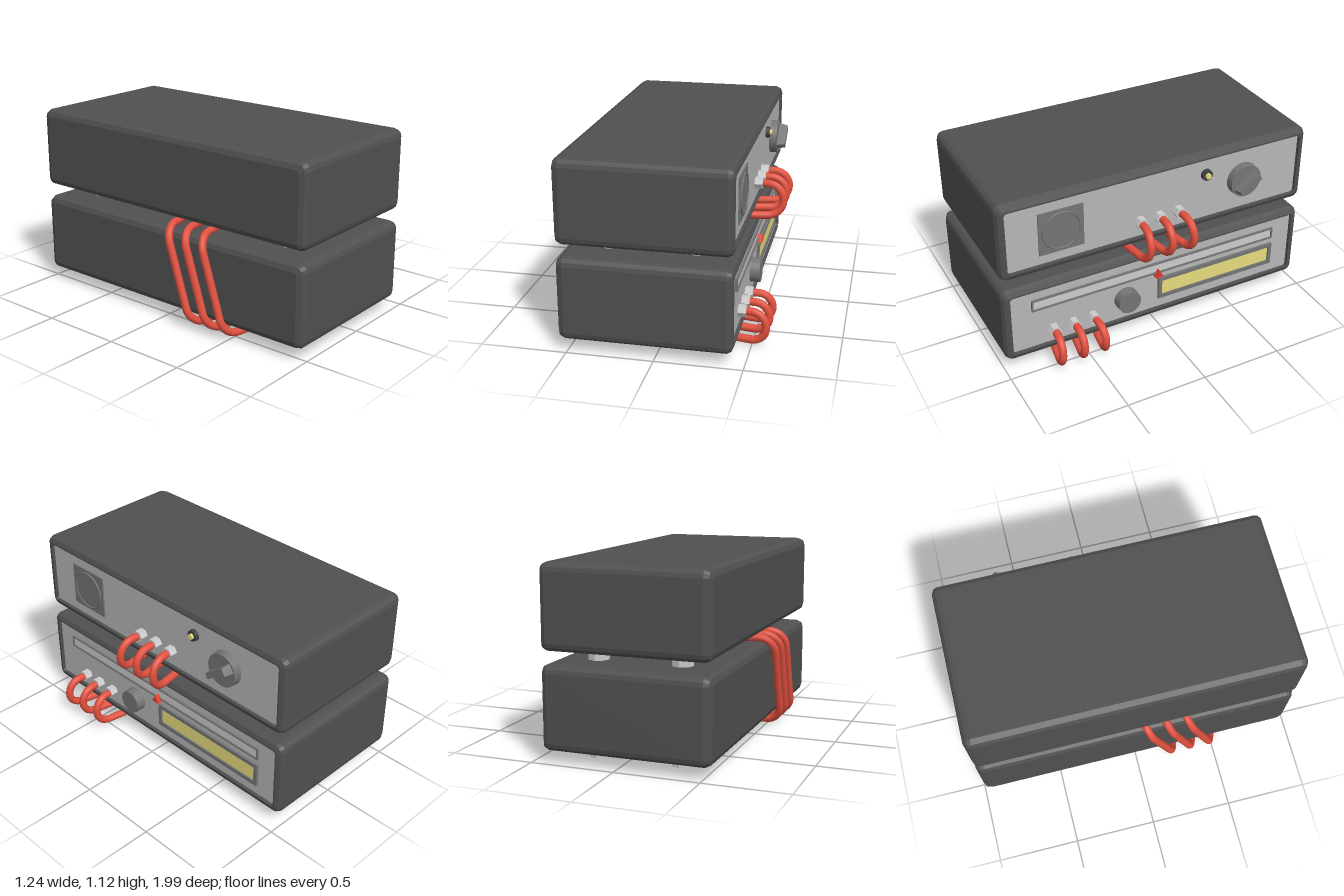
import * as THREE from 'three';

const mat = (color, flatShading = false) => new THREE.MeshStandardMaterial({ color, flatShading });
const M = {
  shell: mat(0x505050, true), panel: mat(0xb6b6b6), metal: mat(0xcccccc, true),
  dark: mat(0x757575), darkFlat: mat(0x757575, true), black: mat(0x404040),
  red: mat(0xe0503f), redFlat: mat(0xe0402f, true), yellow: mat(0xe6dc7c), light: mat(0xcccccc),
};
const FACE = 0.42; // x of the recessed control panels

function add(parent, name, geo, material, x = 0, y = 0, z = 0) {
  const mesh = new THREE.Mesh(geo, material);
  mesh.name = name;
  mesh.position.set(x, y, z);
  parent.add(mesh);
  return mesh;
}

// Disc or prism whose axis runs along x, starting at x = 0
function disc(r0, r1, depth, sides) {
  return new THREE.CylinderGeometry(r1, r0, depth, sides).rotateZ(-Math.PI / 2).translate(depth / 2, 0, 0);
}

// Box starting at x = 0
const slab = (depth, h, w) => new THREE.BoxGeometry(depth, h, w).translate(depth / 2, 0, 0);

// Rectangular frame in the yz plane
function frame(w, h, border, depth) {
  const rect = (C, a, b) => new C([[-a, -b], [a, -b], [a, b], [-a, b]].map(p => new THREE.Vector2(...p)));
  const s = rect(THREE.Shape, w / 2, h / 2);
  s.holes.push(rect(THREE.Path, w / 2 - border, h / 2 - border));
  return new THREE.ExtrudeGeometry(s, { depth, bevelEnabled: false }).rotateY(Math.PI / 2);
}

// Rounded rectangle cross-section, shrunk by inset
function ring(x, inset, halfH, halfW) {
  const r = Math.max(0.048 - inset, 0.018), pts = [];
  const h = halfH - inset - r, w = halfW - inset - r;
  for (let q = 0; q < 4; q++) {
    const sy = q < 2 ? 1 : -1, sz = q === 0 || q === 3 ? 1 : -1;
    for (let i = 0; i <= 3; i++) {
      const a = (q + i / 3) * Math.PI / 2;
      pts.push([x, sy * h + r * Math.sin(a), sz * w + r * Math.cos(a)]);
    }
  }
  return pts;
}

// Bevelled shell with a recess on the +x side
function shellGeometry() {
  const sections = [[-0.553, 0.042], [-0.541, 0.014], [-0.51, 0], [0.402, 0], [0.427, 0.012],
    [0.438, 0.036], [0.438, 0.046], [FACE - 0.01, 0.05]];
  const rings = sections.map(([x, inset]) => ring(x, inset, 0.246, 0.995));
  const pos = [], n = rings[0].length;
  for (let j = 0; j < n; j++) {
    const k = (j + 1) % n;
    pos.push(sections[0][0], 0, 0, ...rings[0][j], ...rings[0][k]);
    for (let i = 0; i < rings.length - 1; i++) {
      const a = rings[i][j], b = rings[i][k], c = rings[i + 1][j], d = rings[i + 1][k];
      pos.push(...a, ...c, ...b, ...b, ...c, ...d);
    }
  }
  const g = new THREE.BufferGeometry();
  g.setAttribute('position', new THREE.Float32BufferAttribute(pos, 3));
  g.computeVertexNormals();
  return g;
}

// Path of straight runs joined by round corners
function roundedPath(points, radii) {
  const p = points.map(a => new THREE.Vector3(...a));
  const path = new THREE.CurvePath();
  let last = p[0];
  for (let i = 1; i < p.length - 1; i++) {
    const toward = t => p[i].clone().addScaledVector(t.clone().sub(p[i]).normalize(), radii[i - 1]);
    const a = toward(p[i - 1]), b = toward(p[i + 1]);
    if (last.distanceTo(a) > 0.004) path.add(new THREE.LineCurve3(last, a));
    path.add(new THREE.CubicBezierCurve3(a, a.clone().lerp(p[i], 0.55), b.clone().lerp(p[i], 0.55), b));
    last = b;
  }
  path.add(new THREE.LineCurve3(last, p[p.length - 1]));
  return path;
}

function unit(name, y) {
  const g = new THREE.Group();
  g.name = name;
  add(g, 'shell', shellGeometry(), M.shell, 0, y, 0);
  add(g, 'controlPanel', slab(0.012, 0.41, 1.91), M.panel, FACE - 0.012, y, 0);
  // Octagonal feet
  for (const x of [-0.307, 0.195]) for (const z of [-0.74, 0.74])
    add(g, 'foot', new THREE.CylinderGeometry(0.063, 0.063, 0.085, 8), M.metal, x, y - 0.2725, z);
  return g;
}

export function createModel() {
  const model = new THREE.Group();
  const upper = unit('upperUnit', 0.879), lower = unit('lowerUnit', 0.315);
  model.add(upper, lower);

  // Upper unit: round meter on a square plate
  add(upper, 'meterPlate', slab(0.008, 0.27, 0.275), M.dark, FACE, 0.876, 0.617);
  add(upper, 'meterFace', disc(0.12, 0.12, 0.012, 32), M.dark, FACE, 0.876, 0.617);
  add(upper, 'meterRim', new THREE.TorusGeometry(0.115, 0.006, 6, 32).rotateY(Math.PI / 2),
    M.dark, FACE + 0.012, 0.876, 0.617);

  // Indicator lamp
  add(upper, 'lampCollar', disc(0.035, 0.033, 0.024, 16), M.black, FACE, 0.975, -0.31);
  add(upper, 'lamp', disc(0.019, 0.017, 0.038, 12), M.yellow, FACE, 0.975, -0.31);

  // Selector knob with a tapered grip
  const knob = new THREE.Group();
  knob.name = 'selectorKnob';
  knob.position.set(FACE, 0.88, -0.565);
  upper.add(knob);
  add(knob, 'knobBase', disc(0.105, 0.102, 0.047, 28), M.dark);
  const grip = slab(0.055, 0.058, 0.18);
  const gp = grip.attributes.position;
  for (let i = 0; i < gp.count; i++) {
    const top = gp.getX(i) > 0.03 ? 0.85 : 1, narrow = gp.getZ(i) > 0 ? 0.65 : 1;
    gp.setXYZ(i, gp.getX(i), gp.getY(i) * top * narrow, gp.getZ(i) * top);
  }
  grip.computeVertexNormals();
  add(knob, 'knobGrip', grip, M.darkFlat, 0.045).rotation.x = 0.6;

  // Lower unit: slider scale, pointer, knob and display
  add(lower, 'sliderFrame', frame(1.635, 0.075, 0.009, 0.014), M.dark, FACE, 0.413, 0.002);
  add(lower, 'sliderTrack', slab(0.005, 0.06, 1.62), M.light, FACE, 0.413, 0.002);
  add(lower, 'sliderPointer', disc(0.031, 0.031, 0.04, 3).rotateX(-Math.PI / 2),
    M.redFlat, FACE - 0.004 + 0.001, 0.376, 0.002);
  add(lower, 'tuningKnob', disc(0.075, 0.073, 0.06, 28), M.dark, FACE, 0.26, 0.215);
  add(lower, 'displayFrame', frame(0.815, 0.15, 0.024, 0.016), M.dark, FACE, 0.26, -0.41);
  add(lower, 'display', slab(0.006, 0.11, 0.775), M.yellow, FACE, 0.26, -0.41);

  // Three cables running from the upper sockets behind both units to the lower ones
  const slide = 0.565;
  for (const d of [-0.126, 0, 0.126]) {
    const path = roundedPath([
      [0.43, 0.782, d], [0.593, 0.782, d * 1.1], [0.593, 0.593, d * 1.15],
      [-0.597, 0.593, d + 0.19], [-0.597, 0.033, d + 0.37],
      [0.581, 0.033, slide + d * 1.12], [0.581, 0.208, slide + d * 1.08], [0.43, 0.208, slide + d],
    ], [0.093, 0.093, 0.1, 0.1, 0.086, 0.086]);
    add(model, 'cable', new THREE.TubeGeometry(path, 200, 0.0235, 10), M.red);
    add(upper, 'socketNut', disc(0.036, 0.036, 0.048, 6), M.metal, FACE, 0.782, d);
    add(lower, 'socketNut', disc(0.036, 0.036, 0.048, 6), M.metal, FACE, 0.208, slide + d);
  }
  return model;
}
